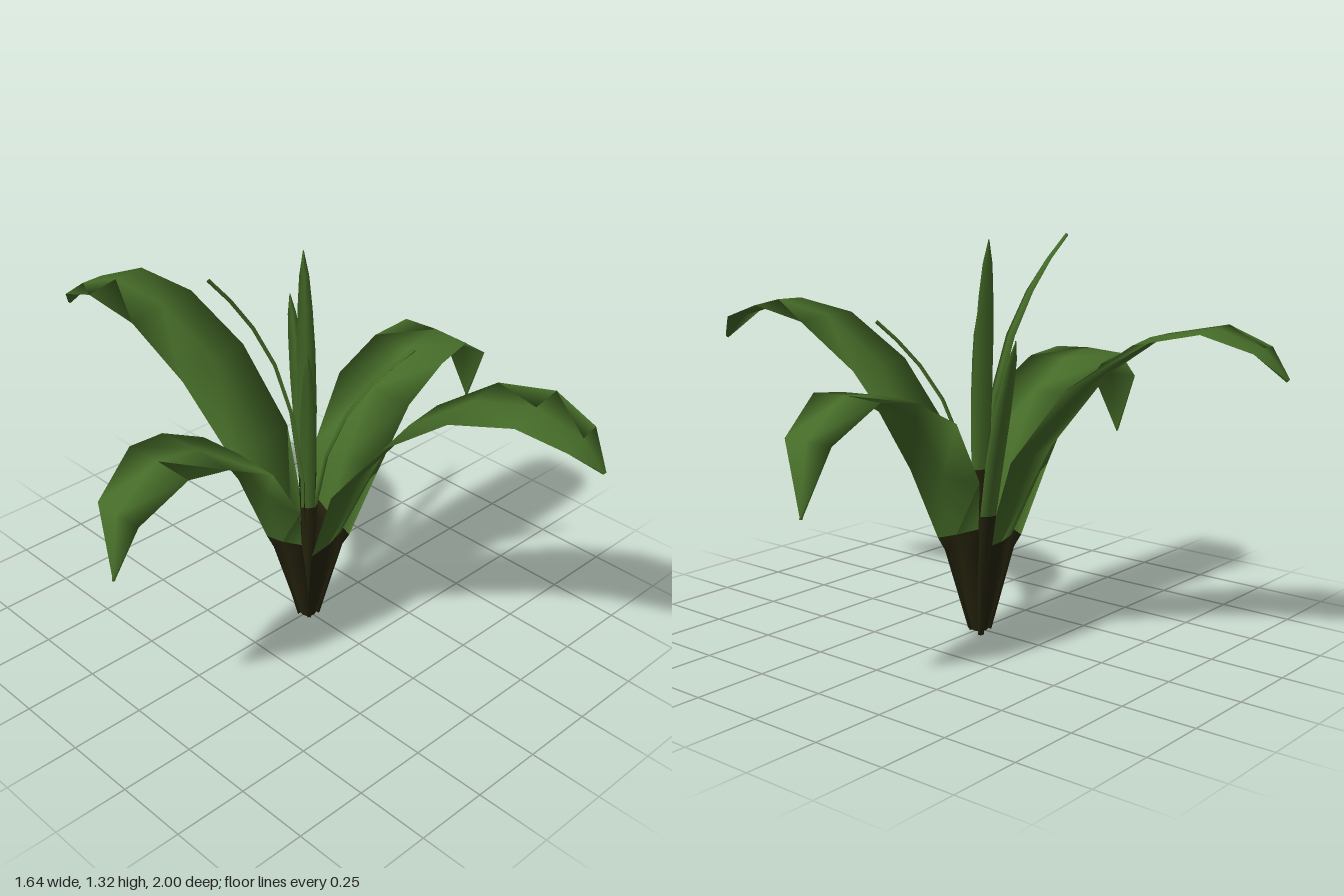
import * as THREE from 'three';

const green = new THREE.MeshStandardMaterial({ color: 0x456b28 });
green.name = 'leafGreen';
const dark = new THREE.MeshStandardMaterial({ color: 0x25230c });
dark.name = 'leafBase';

// Leaf skin over a spine. rows: { p: centre, hw: half width, tilt }.
// Each ring has four corners: side, top, other side, underside.
// Rows before `split` take the dark base colour.
function leaf(name, rows, dir, split, thick) {
  const w = new THREE.Vector3(dir.z, 0, -dir.x);
  const pos = [], idx = [];
  rows.forEach(({ p, hw, tilt = 0 }, i) => {
    const a = rows[Math.max(i - 1, 0)].p, b = rows[Math.min(i + 1, rows.length - 1)].p;
    const t = b.clone().sub(a);
    t.addScaledVector(w, -t.dot(w)).normalize();
    const n = t.clone().cross(w);
    const h = thick / 2;
    for (const [u, v] of [[1, 0], [0, 1], [-1, 0], [0, -1]]) {
      const q = p.clone().addScaledVector(w, u * hw).addScaledVector(n, v * h).addScaledVector(t, u * tilt);
      pos.push(q.x, q.y, q.z);
    }
  });
  for (let i = 0; i < rows.length - 1; i++) {
    for (let j = 0; j < 4; j++) {
      const a = i * 4 + j, b = i * 4 + (j + 1) % 4;
      idx.push(a, b, b + 4, a, b + 4, a + 4);
    }
  }
  const end = (rows.length - 1) * 4;
  idx.push(0, 2, 1, 0, 3, 2, end, end + 1, end + 2, end, end + 2, end + 3);

  const g = new THREE.BufferGeometry();
  g.setAttribute('position', new THREE.Float32BufferAttribute(pos, 3));
  g.setIndex(idx);
  g.computeVertexNormals();
  const cut = split * 24;
  g.addGroup(0, cut, 0);
  g.addGroup(cut, idx.length - 6 - cut - 6, 1);
  g.addGroup(idx.length - 12, 6, 0);
  g.addGroup(idx.length - 6, 6, 1);
  const mesh = new THREE.Mesh(g, [dark, green]);
  mesh.name = name;
  return mesh;
}

// Broad arching leaf: profile rows are [radius, height, half width, tilt]
function broadLeaf(name, profile, degrees, split) {
  const a = THREE.MathUtils.degToRad(degrees);
  const dir = new THREE.Vector3(Math.sin(a), 0, Math.cos(a));
  const rows = profile.map(([r, y, hw, tilt]) => ({ p: dir.clone().multiplyScalar(r).setY(y), hw, tilt }));
  return leaf(name, rows, dir, split, 0.014);
}

// Slim blade from base to tip; a larger bend leans out later
function blade(name, base, tip, bend, hw) {
  const b = new THREE.Vector3(...base), e = new THREE.Vector3(...tip);
  const dir = e.clone().sub(b).setY(0).normalize();
  const rows = [[0, 0.35], [0.2, 0.6], [0.415, 0.9], [0.6, 1], [0.75, 0.95], [0.86, 0.75], [0.94, 0.5], [1, 0.05]]
    .map(([s, k]) => {
      const p = b.clone().lerp(e, Math.pow(s, bend));
      p.y = b.y + (e.y - b.y) * s;
      return { p, hw: hw * k };
    });
  return leaf(name, rows, dir, 2, 0.012);
}

export function createModel() {
  const plant = new THREE.Group();
  plant.name = 'plant';

  const longProfile = [
    [0.02, 0, 0.034], [0.075, 0.315, 0.09], [0.19, 0.62, 0.152], [0.38, 0.87, 0.165],
    [0.59, 1.02, 0.155], [0.79, 1.062, 0.135], [0.94, 1.01, 0.093], [1.018, 0.925, 0.004],
  ];
  const sideProfile = [
    [0.02, 0, 0.034], [0.09, 0.28, 0.075], [0.113, 0.355, 0.095, 0.035], [0.18, 0.56, 0.145],
    [0.31, 0.77, 0.16], [0.48, 0.858, 0.152], [0.62, 0.877, 0.135], [0.78, 0.77, 0.095], [0.815, 0.55, 0.004],
  ];

  // Two opposite pairs of broad leaves
  plant.add(broadLeaf('frontLeaf', longProfile, 12, 1));
  plant.add(broadLeaf('backLeaf', longProfile, 192, 1));
  plant.add(broadLeaf('leftLeaf', sideProfile, 91, 2));
  plant.add(broadLeaf('rightLeaf', sideProfile, 271, 2));

  // Slim blades in the heart of the plant
  plant.add(blade('tallCurvedBlade', [-0.01, 0.02, -0.01], [-0.285, 1.31, -0.135], 4, 0.032));
  plant.add(blade('tallStraightBlade', [0.01, 0.02, -0.01], [0.075, 1.31, -0.1], 2.6, 0.032));
  plant.add(blade('outerBackBlade', [0.09, 0.02, -0.08], [0.24, 1.03, -0.34], 1.7, 0.03));
  plant.add(blade('frontBlade', [0.02, 0.02, 0], [0.22, 1.04, 0.25], 3.8, 0.032));
  plant.add(blade('shortBlade', [-0.01, 0.02, 0.01], [-0.06, 1.05, 0.06], 3, 0.026));

  return plant;
}
